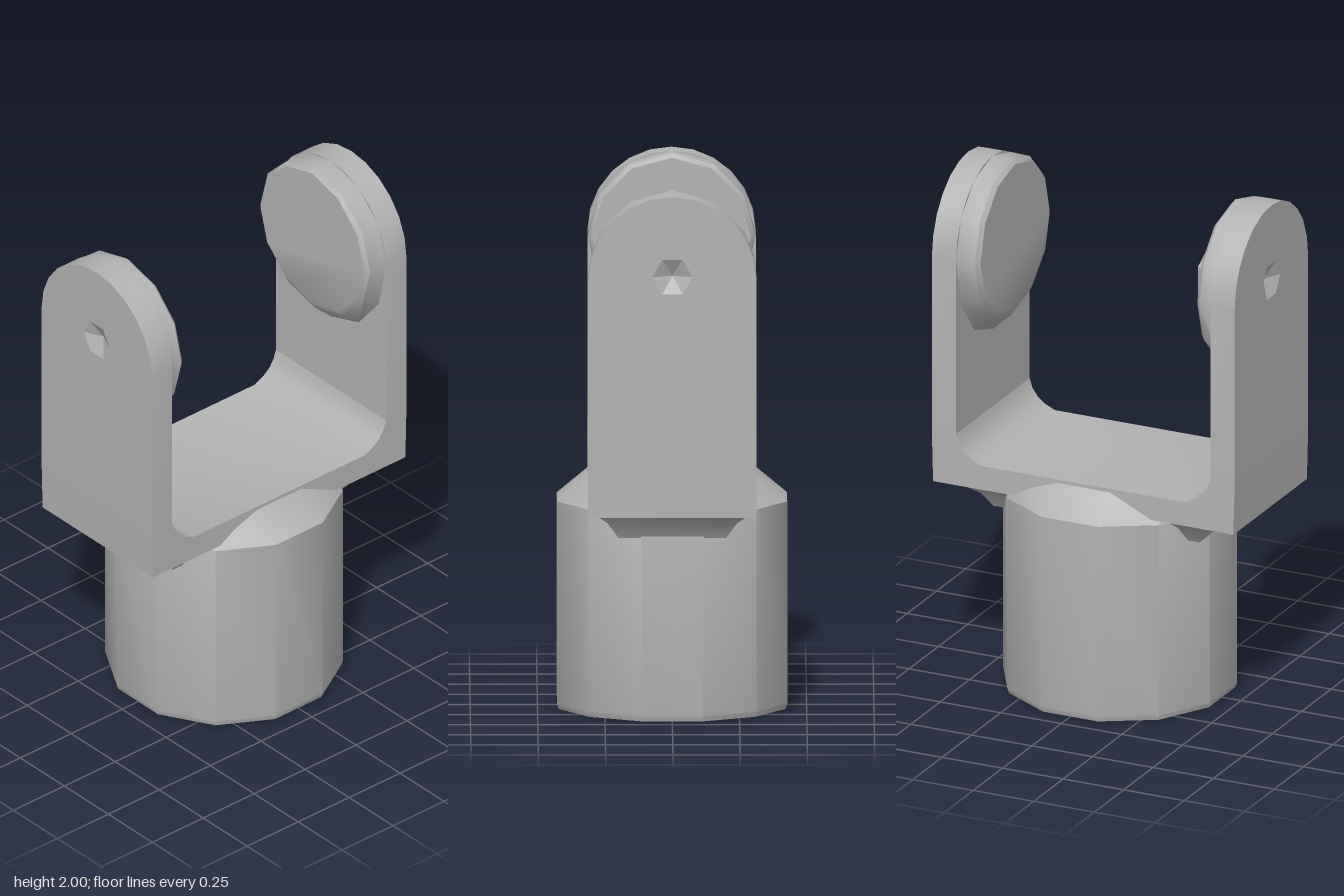
import * as THREE from 'three';
import { toCreasedNormals } from 'three/addons/utils/BufferGeometryUtils.js';

// Closed solid through a series of equal-length rings of [x, y, z] points
function loft(rings) {
  const out = [];
  const n = rings[0].length;
  const tri = (a, b, c) => out.push([a, b, c]);
  for (let r = 0; r < rings.length - 1; r++) {
    for (let i = 0; i < n; i++) {
      const j = (i + 1) % n;
      const [a, b] = [rings[r], rings[r + 1]];
      tri(a[i], a[j], b[j]);
      tri(a[i], b[j], b[i]);
    }
  }
  const last = rings[rings.length - 1];
  for (let i = 1; i < n - 1; i++) {
    tri(rings[0][0], rings[0][i + 1], rings[0][i]);
    tri(last[0], last[i], last[i + 1]);
  }
  // Turn every face outward
  const V = (p) => new THREE.Vector3(...p);
  const volume = out.reduce((s, [a, b, c]) => s + V(a).dot(V(b).cross(V(c))), 0);
  const faces = volume < 0 ? out.map(([a, b, c]) => [a, c, b]) : out;
  const g = new THREE.BufferGeometry();
  g.setAttribute('position', new THREE.Float32BufferAttribute(faces.flat(2), 3));
  return toCreasedNormals(g, 0.6);
}

// Ring of n points: angle -> point
const ring = (n, fn, offset = 0) =>
  Array.from({ length: n }, (_, i) => fn(((i + offset) / n) * Math.PI * 2));

export function createModel() {
  const metal = new THREE.MeshStandardMaterial({ color: 0xb3b3b3 });
  const dentMetal = metal;
  const model = new THREE.Group();
  model.name = 'clevis';
  const add = (parent, name, geometry, material = metal) => {
    const mesh = new THREE.Mesh(geometry, material);
    mesh.name = name;
    parent.add(mesh);
    return mesh;
  };

  const HALF = 0.313; // half depth of the fork
  const EYE = 1.688; // height of the arm eye

  // Twelve-sided socket whose shoulder slopes in to the fork floor
  const R = 0.443;
  const section = (y, sz, s = 1) =>
    ring(12, (a) => [Math.cos(a) * R * s, y, Math.sin(a) * R * sz], 0.5);
  add(model, 'socket', loft([
    section(0, 0.985, 0.985), section(0.02, 1), section(0.78, 1), section(0.88, 0.72, 0.95),
  ]));

  // Fork floor with the filleted inner corners
  const floor = new THREE.Shape();
  floor.moveTo(-0.62, 0.795);
  floor.lineTo(0.62, 0.795);
  floor.lineTo(0.625, 1);
  floor.lineTo(0.525, 1);
  floor.quadraticCurveTo(0.51, 0.92, 0.42, 0.89);
  floor.lineTo(-0.42, 0.89);
  floor.quadraticCurveTo(-0.51, 0.92, -0.525, 1);
  floor.lineTo(-0.625, 1);
  const floorGeo = new THREE.ExtrudeGeometry(floor, {
    depth: HALF * 2, bevelEnabled: false, curveSegments: 4,
  }).translate(0, 0, -HALF);
  add(model, 'forkFloor', toCreasedNormals(floorGeo, 0.6));

  // Upright plate with a rounded top, pierced by the outer dimple
  const plate = new THREE.Shape();
  plate.moveTo(-HALF, 1);
  plate.lineTo(HALF, 1);
  plate.lineTo(HALF, EYE);
  plate.absarc(0, EYE, HALF, 0, Math.PI, false);
  plate.lineTo(-HALF, 1);
  const hole = new THREE.Path();
  const rim = ring(6, (a) => new THREE.Vector2(Math.cos(a) * 0.075, 1.7 + Math.sin(a) * 0.075));
  hole.setFromPoints(rim);
  plate.holes.push(hole);
  const plateGeo = toCreasedNormals(new THREE.ExtrudeGeometry(plate, {
    depth: 0.1, bevelEnabled: false, curveSegments: 6,
  }).rotateY(Math.PI / 2).translate(0.525, 0, 0), 0.6);

  // Shallow cone forming the dimple surface
  const dentPoints = [];
  rim.forEach((p, i) => {
    const q = rim[(i + 1) % 6];
    dentPoints.push(0.59, 1.7, 0, 0.625, q.y, -q.x, 0.625, p.y, -p.x);
  });
  const dentGeo = new THREE.BufferGeometry();
  dentGeo.setAttribute('position', new THREE.Float32BufferAttribute(dentPoints, 3));
  dentGeo.computeVertexNormals();
  dentMetal.side = THREE.DoubleSide;

  // Each arm is built on +x; the other is turned half a revolution
  for (const [name, inner, turn] of [['leftArm', 0.433, 0], ['rightArm', 0.462, Math.PI]]) {
    const arm = new THREE.Group();
    arm.name = name;
    arm.rotation.y = turn;
    model.add(arm);
    add(arm, 'armPlate', plateGeo);
    add(arm, 'dimple', dentGeo, dentMetal);

    // Round inner boss, running out downward into the plate
    const bossRing = (x, r, drop) => ring(12, (a) => {
      const s = Math.sin(a);
      return [x, EYE + s * (s < 0 ? drop : r), Math.cos(a) * r];
    });
    add(arm, 'boss', loft([
      bossRing(0.53, HALF, 0.385), bossRing(inner + 0.015, 0.311, 0.31), bossRing(inner, 0.295, 0.28),
    ]));

    // Gusset under the floor, blending into the socket
    const gussetRing = (y, x, z) => [[0.3, y, -z], [x, y, -z], [x, y, z], [0.3, y, z]];
    add(arm, 'gusset', loft([
      gussetRing(0.69, 0.425, 0.2), gussetRing(0.75, 0.46, 0.24), gussetRing(0.8, 0.53, 0.3),
    ]));
  }

  // Faceted pin on the inside of the right arm
  const pinRing = (x, ry, rz, y) =>
    ring(6, (a) => [x, y + Math.sin(a) * ry, Math.cos(a) * rz], 0.5);
  add(model, 'pin', loft([
    pinRing(-0.47, 0.21, 0.2, 1.66), pinRing(-0.38, 0.13, 0.14, 1.69),
  ]));

  return model;
}
